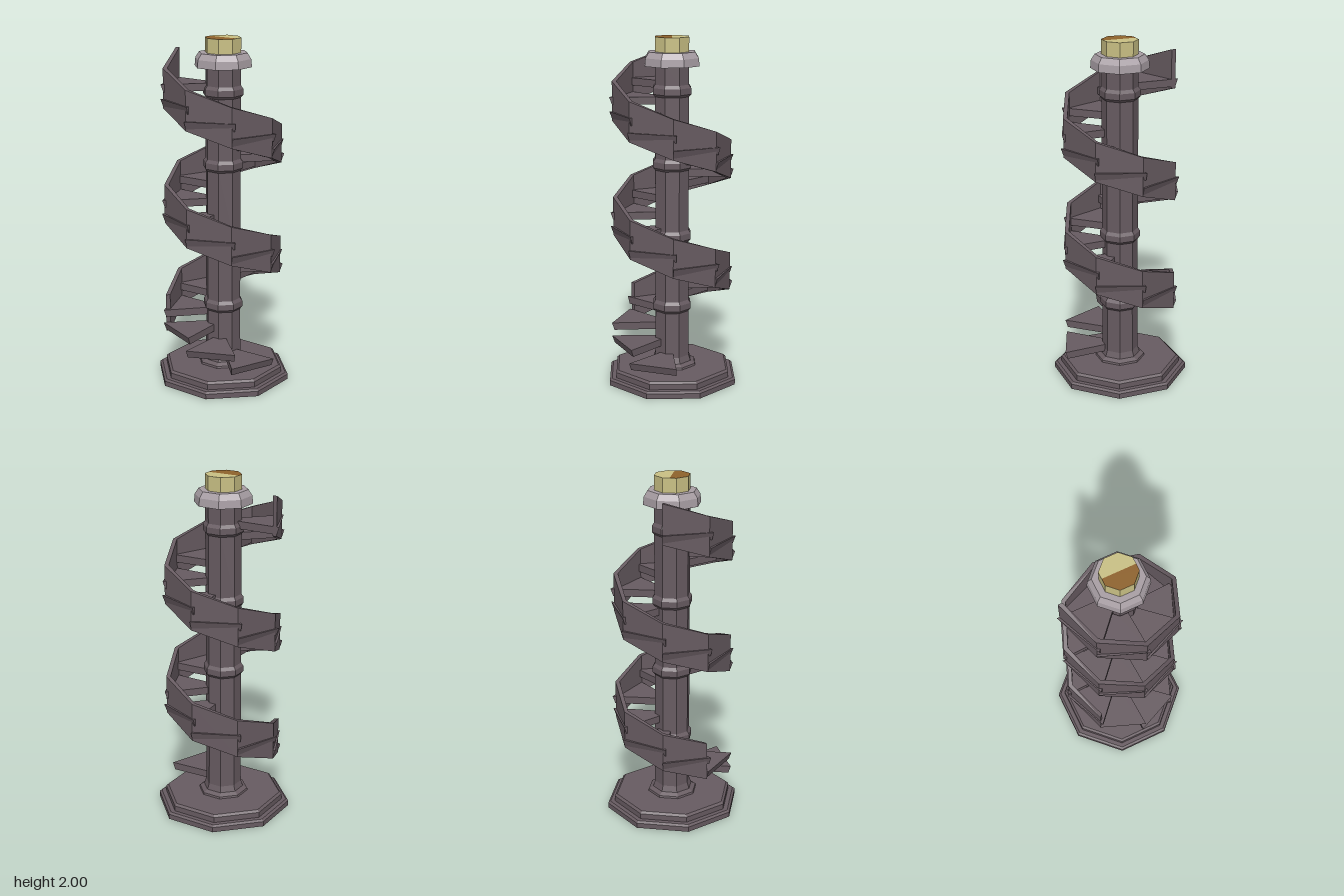
import * as THREE from 'three';

const STEP = Math.PI / 4;      // eight treads per turn
const RISE = 0.083;            // height gained per tread
const TREADS = 20;

const mat = (name, color) => {
  const m = new THREE.MeshStandardMaterial({ color });
  m.name = name;
  return m;
};

// Faceted normals
function facet(geo) {
  const g = geo.index ? geo.toNonIndexed() : geo;
  g.computeVertexNormals();
  return g;
}

// Octagonal turned solid with flat sides facing the axes; profile is [apothem, y]
function octagon(profile) {
  const k = 1 / Math.cos(Math.PI / 8);
  const pts = profile.map(([a, y]) => new THREE.Vector2(a * k, y));
  return facet(new THREE.LatheGeometry(pts, 8, Math.PI / 8));
}

// Solid swept around the y axis through sections { angle, pts: [[radius, y] x4] }
function sweep(sections) {
  const pos = [];
  const rings = sections.map(({ angle, pts }) =>
    pts.map(([r, y]) => [r * Math.cos(angle), y, r * Math.sin(angle)]));
  const quad = (a, b, c, d) => pos.push(...a, ...b, ...c, ...a, ...c, ...d);
  for (let s = 0; s < rings.length - 1; s++) {
    const p = rings[s], q = rings[s + 1];
    for (let j = 0; j < 4; j++) {
      const n = (j + 1) % 4;
      quad(p[j], p[n], q[n], q[j]);
    }
  }
  const first = rings[0], last = rings[rings.length - 1];
  quad(first[3], first[2], first[1], first[0]);
  quad(last[0], last[1], last[2], last[3]);
  const g = new THREE.BufferGeometry();
  g.setAttribute('position', new THREE.Float32BufferAttribute(pos, 3));
  return facet(g);
}

export function createModel() {
  const stone = mat('dark stone', 0x675b61);
  const pale = mat('pale stone', 0xa89ea4);
  const cream = mat('cream', 0xc9c084);
  const brown = mat('brown', 0x8e622c);

  const model = new THREE.Group();
  model.name = 'spiralStaircase';
  const add = (name, geo, material, parent = model) => {
    const m = new THREE.Mesh(geo, material);
    m.name = name;
    parent.add(m);
    return m;
  };

  // Two-stepped plinth
  add('base', octagon([
    [0, 0], [0.363, 0], [0.363, 0.03], [0.35, 0.04], [0.325, 0.04],
    [0.325, 0.072], [0.312, 0.084], [0, 0.084],
  ]), stone);

  // Column with flared foot and four collar rings
  const column = [[0.135, 0.084], [0.132, 0.095], [0.108, 0.11], [0.097, 0.145]];
  for (const y of [0.45, 0.868, 1.285, 1.703]) {
    column.push([0.095, y - 0.035], [0.107, y - 0.02], [0.107, y + 0.015], [0.095, y + 0.033]);
  }
  column.push([0.095, 1.85]);
  add('column', octagon(column), stone);

  // Capital
  add('capital', octagon([
    [0, 1.84], [0.152, 1.84], [0.148, 1.885], [0.128, 1.918], [0, 1.918],
  ]), pale);

  // Finial block with a two-coloured top
  const a = 0.095, h = a * Math.tan(Math.PI / 8);
  add('finial', octagon([[a, 1.915], [a, 2]]), cream);
  const half = new THREE.Shape(
    [[a, 0], [a, h], [h, a], [-h, a], [-a, h], [-a, 0]].map((p) => new THREE.Vector2(...p)));
  const top = new THREE.ShapeGeometry(half).rotateX(-Math.PI / 2).translate(0, 2, 0);
  add('finialTopBack', top, cream);
  add('finialTopFront', top.clone().rotateY(Math.PI), brown);

  // Wedge treads, each slightly overlapping the one below
  const treads = new THREE.Group();
  treads.name = 'treads';
  model.add(treads);
  for (let i = 0; i < TREADS; i++) {
    const y = 0.17 + i * RISE;
    const pts = [[0.08, y - 0.043], [0.337, y - 0.043], [0.352, y], [0.08, y]];
    add('tread', sweep([
      { angle: i * STEP - 0.052, pts },
      { angle: (i + 1) * STEP, pts },
    ]), stone, treads);
  }

  // Outer parapet climbing from the fourth tread to the last
  const sections = [];
  for (let i = 3; i <= TREADS; i++) {
    const t = 0.507 + (i - 3) * RISE, b = t - 0.224;
    sections.push({
      angle: i * STEP,
      pts: [[0.312, b], [0.337, b], [0.337, t], [0.312, t]],
    });
  }
  add('parapet', sweep(sections), stone);

  return model;
}
